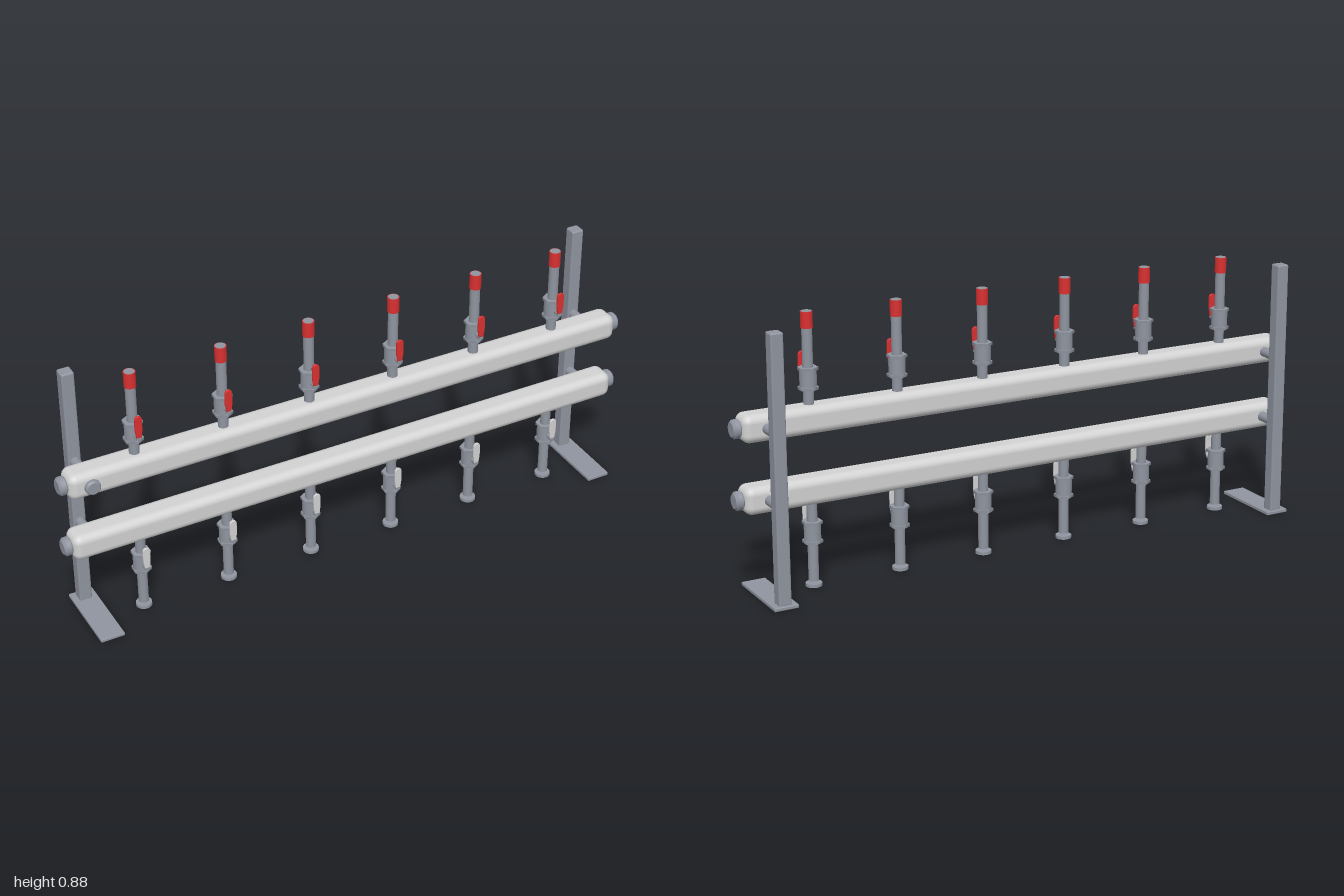
import * as THREE from 'three';
import { RoundedBoxGeometry } from 'three/addons/geometries/RoundedBoxGeometry.js';

const steel = new THREE.MeshStandardMaterial({ color: 0x8f949f });
steel.name = 'blue grey steel';
const light = new THREE.MeshStandardMaterial({ color: 0xd2d2d2 });
light.name = 'light grey';
const red = new THREE.MeshStandardMaterial({ color: 0xd93030 });
red.name = 'red';

const PIPE_Z = 0.018;
const UPPER_Y = 0.544, LOWER_Y = 0.318;

function add(parent, name, geometry, material, x = 0, y = 0, z = 0) {
  const mesh = new THREE.Mesh(geometry, material);
  mesh.name = name;
  mesh.position.set(x, y, z);
  parent.add(mesh);
  return mesh;
}

// Upright cylinder between two heights
function tube(parent, name, r, y0, y1, material, z = 0, sides = 24) {
  return add(parent, name, new THREE.CylinderGeometry(r, r, y1 - y0, sides), material, 0, (y0 + y1) / 2, z);
}

// Round plug with chamfered rim, base at the origin, pointing up
function plugGeometry(r, h) {
  const c = h * 0.25;
  const flat = [[0, 0], [r - c, 0], [r, c], [r, h - c], [r - c, h], [0, h]];
  const pts = [];
  // doubled points keep the rim edges crisp
  flat.forEach(([x, y], i) => {
    pts.push(new THREE.Vector2(x, y));
    if (i > 0 && i < 5) pts.push(new THREE.Vector2(x, y));
  });
  return new THREE.LatheGeometry(pts, 28);
}

// Lever plate with rounded ends
function leverGeometry() {
  const r = 0.012, len = 0.076;
  const s = new THREE.Shape();
  s.moveTo(-0.008, 0);
  s.lineTo(0.008, 0);
  s.lineTo(r, 0.025);
  s.lineTo(r, len - r);
  s.absarc(0, len - r, r, 0, Math.PI, false);
  s.lineTo(-r, 0.025);
  s.closePath();
  return new THREE.ExtrudeGeometry(s, {
    depth: 0.004, bevelThickness: 0.002, bevelSize: 0.002, bevelOffset: -0.002, bevelSegments: 2, curveSegments: 8,
  });
}

// Ball valve centred on its own origin
function valve(leverMaterial) {
  const g = new THREE.Group();
  g.name = 'valve';
  tube(g, 'valveBody', 0.0267, -0.026, 0.026, steel);
  for (const y of [-0.0305, 0.0305]) tube(g, 'valveHexFlange', 0.0325, y - 0.0045, y + 0.0045, steel, 0, 6);
  const stem = add(g, 'valveStem', new THREE.CylinderGeometry(0.008, 0.008, 0.025, 16), steel, 0, -0.004, 0.035);
  stem.rotation.x = Math.PI / 2;
  add(g, 'lever', leverGeometry(), leverMaterial, 0, -0.001, 0.043);
  return g;
}

function manifold(name, y) {
  const g = new THREE.Group();
  g.name = name;
  g.position.set(0, y, PIPE_Z);
  add(g, 'manifoldBar', new RoundedBoxGeometry(1.95, 0.088, 0.088, 4, 0.026), light);
  for (const s of [-1, 1]) {
    const cap = add(g, 'endPlug', plugGeometry(0.03, 0.03), steel, s * 0.97);
    cap.rotation.z = -s * Math.PI / 2;
    // arm that holds the bar on its post
    const arm = add(g, 'bracket', new THREE.CylinderGeometry(0.0165, 0.0165, 0.08, 20), steel, s * 0.9, 0, -0.07);
    arm.rotation.x = Math.PI / 2;
  }
  return g;
}

export function createModel() {
  const model = new THREE.Group();
  model.name = 'pipeManifoldRack';

  // Posts on their foot plates
  for (const s of [-1, 1]) {
    add(model, 'post', new RoundedBoxGeometry(0.042, 0.852, 0.042, 2, 0.006), steel, s * 0.9, 0.434, -0.101);
    add(model, 'footPlate', new RoundedBoxGeometry(0.08, 0.012, 0.262, 2, 0.003), steel, s * 0.9, 0.006, 0);
  }

  // Two horizontal manifolds
  model.add(manifold('upperManifold', UPPER_Y), manifold('lowerManifold', LOWER_Y));
  const port = add(model, 'frontPlug', plugGeometry(0.025, 0.02), steel, -0.905, UPPER_Y, 0.059);
  port.rotation.x = Math.PI / 2;

  // Six branches up and six down
  for (let i = 0; i < 6; i++) {
    const x = -0.745 + i * 0.298;

    const up = new THREE.Group();
    up.name = 'upperBranch';
    up.position.set(x, 0, PIPE_Z);
    tube(up, 'upperPipe', 0.0165, UPPER_Y + 0.03, 0.878, steel);
    tube(up, 'redSleeve', 0.019, 0.826, 0.877, red);
    const upperValve = valve(red);
    upperValve.position.y = 0.669;
    up.add(upperValve);

    const down = new THREE.Group();
    down.name = 'lowerBranch';
    down.position.set(x, 0, PIPE_Z);
    tube(down, 'lowerPipe', 0.0165, 0.02, LOWER_Y - 0.03, steel);
    tube(down, 'footDisc', 0.026, 0.002, 0.012, steel);
    const lowerValve = valve(light);
    lowerValve.position.y = 0.179;
    down.add(lowerValve);

    model.add(up, down);
  }
  return model;
}
